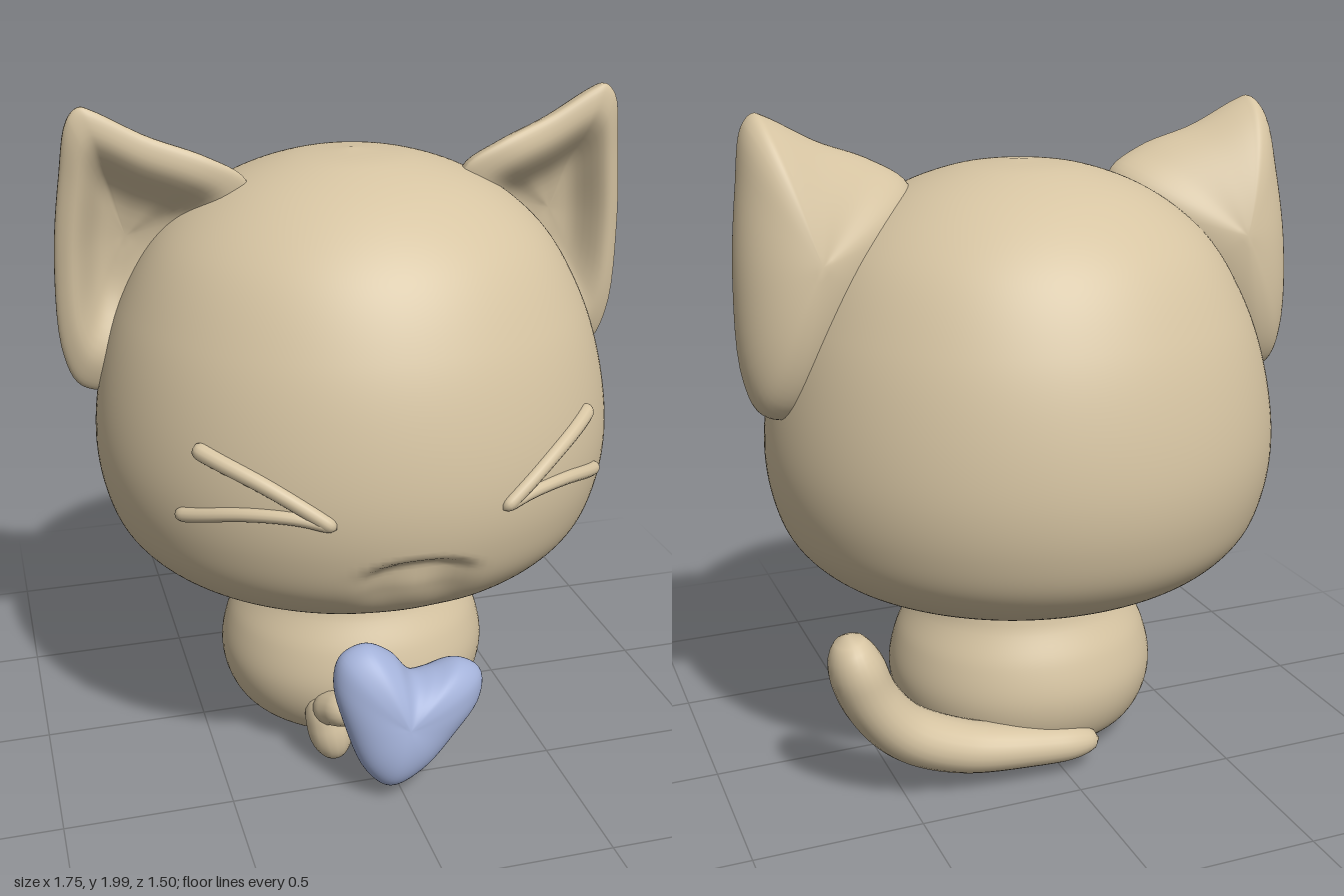
import * as THREE from 'three';
import { mergeVertices } from 'three/addons/utils/BufferGeometryUtils.js';

const fur = new THREE.MeshStandardMaterial({ name: 'tan fur', color: 0xd6c4a2 });
const blue = new THREE.MeshStandardMaterial({ name: 'heart blue', color: 0xa3b1d8 });

const vec = (p) => new THREE.Vector3(p[0], p[1], p[2] ?? 0);

// Weld seams and poles so the shading is smooth everywhere
function smooth(geometry) {
  geometry.deleteAttribute('uv');
  geometry.deleteAttribute('normal');
  const g = mergeVertices(geometry, 1e-5);
  g.computeVertexNormals();
  return g;
}

function add(group, name, geometry, material = fur) {
  const mesh = new THREE.Mesh(geometry, material);
  mesh.name = name;
  group.add(mesh);
  return mesh;
}

// Smooth profile (radius, y) from a few points
function profile(points, n) {
  return new THREE.CatmullRomCurve3(points.map(vec), false, 'centripetal')
    .getPoints(n).map((p) => new THREE.Vector2(Math.max(p.x, 0), p.y));
}

// Tube along a path, with a radius rule and round ends
function taperedTube(points, radius, { cap = 0.1, stretchZ = 1, rows = 48, sides = 16 } = {}) {
  const curve = new THREE.CatmullRomCurve3(points.map(vec), false, 'centripetal');
  const g = new THREE.TubeGeometry(curve, rows, 1, sides);
  const pos = g.attributes.position;
  const v = new THREE.Vector3();
  for (let i = 0; i < pos.count; i++) {
    const t = Math.floor(i / (sides + 1)) / rows;
    const end = Math.min(1, Math.min(t, 1 - t) / cap);
    const r = radius(t) * Math.sqrt(Math.max(0, 1 - (1 - end) ** 2));
    const c = curve.getPointAt(t);
    v.fromBufferAttribute(pos, i).sub(c).multiplyScalar(r);
    v.z *= stretchZ;
    v.add(c);
    pos.setXYZ(i, v.x, v.y, v.z);
  }
  return smooth(g);
}

// Cushion inside a closed outline (anticlockwise from the front);
// front(r) and back(r) give depth from the centre (r = 0) to the rim (r = 1)
function cushion(outline, centre, front, back, n = 72, rings = 36) {
  const rim = new THREE.CatmullRomCurve3(outline.map(vec), true, 'centripetal').getPoints(n).slice(0, n);
  const c = vec(centre);
  const pos = [], index = [];
  for (let j = 0; j <= rings; j++) {
    const s = (j / rings) * Math.PI;
    const r = j === rings ? 0 : Math.sin(s);
    const depth = j <= rings / 2 ? front(r) : back(r);
    for (let i = 0; i < n; i++) {
      const p = c.clone().lerp(rim[i], r);
      pos.push(p.x, p.y, p.z + depth);
      if (j === rings) continue;
      const a = j * n + i, b = j * n + ((i + 1) % n);
      index.push(a, a + n, b + n, a, b + n, b);
    }
  }
  const g = new THREE.BufferGeometry();
  g.setAttribute('position', new THREE.Float32BufferAttribute(pos, 3));
  g.setIndex(index);
  return smooth(g);
}

const dome = (r) => Math.sqrt(Math.max(0, 1 - r * r));
const step = THREE.MathUtils.smoothstep;

const headProfile = profile([
  [0, 0.52], [0.2, 0.52], [0.35, 0.532], [0.5, 0.572], [0.64, 0.64], [0.725, 0.73], [0.77, 0.85],
  [0.786, 1.0], [0.76, 1.2], [0.695, 1.4], [0.575, 1.6], [0.4, 1.74], [0.2, 1.817], [0, 1.84],
], 130);
const HEAD_DEPTH = 0.955;

// Front surface of the head at (x, y)
function headZ(x, y) {
  const i = headProfile.findIndex((p, k) => k > 0 && p.y >= y);
  const a = headProfile[i - 1], b = headProfile[i];
  const r = THREE.MathUtils.lerp(a.x, b.x, (y - a.y) / (b.y - a.y));
  return HEAD_DEPTH * Math.sqrt(Math.max(0, r * r - x * x));
}

// Head with a mouth hollow under a small curved lip
function headGeometry() {
  const g = new THREE.LatheGeometry(headProfile, 160);
  g.scale(1, 1, HEAD_DEPTH);
  const pos = g.attributes.position;
  for (let i = 0; i < pos.count; i++) {
    const x = pos.getX(i), y = pos.getY(i), z = pos.getZ(i);
    if (z < 0.3) continue;
    const lip = 0.865 - 1.2 * x * x;
    const side = Math.exp(-((x / 0.14) ** 4));
    const hollow = 0.05 * side * (1 - step(y, lip - 0.05, lip)) * step(y, 0.58, 0.74);
    const mound = 0.018 * Math.exp(-((x / 0.08) ** 2) - ((y - 0.72) / 0.07) ** 2);
    pos.setZ(i, z - hollow + mound);
  }
  return smooth(g);
}

export function createModel() {
  const model = new THREE.Group();
  model.name = 'kitten';

  add(model, 'head', headGeometry());

  // Body
  const body = new THREE.LatheGeometry(profile([
    [0, 0.03], [0.2, 0.03], [0.3, 0.04], [0.37, 0.085], [0.412, 0.16], [0.425, 0.25],
    [0.4, 0.36], [0.35, 0.46], [0.31, 0.56], [0, 0.6],
  ], 60), 72);
  body.scale(1, 1, 0.95);
  add(model, 'body', smooth(body));

  const earOutline = [
    [0.78, 1.995, 0.03], [0.745, 1.985, 0.035], [0.6, 1.91, 0.05], [0.44, 1.85, 0.08], [0.33, 1.78, 0.07],
    [0.32, 1.7, 0.05], [0.42, 1.48, 0], [0.6, 1.25, -0.04], [0.74, 1.14, -0.06], [0.82, 1.16, -0.06],
    [0.865, 1.27, -0.05], [0.872, 1.55, -0.03], [0.845, 1.8, 0], [0.815, 1.96, 0.025],
  ];
  const eyeStrokes = [
    [[0.235, 0.968], [0.31, 1.02], [0.42, 1.085], [0.575, 1.152]],
    [[0.235, 0.972], [0.34, 0.995], [0.47, 0.99], [0.625, 0.945]],
  ];

  for (const side of [1, -1]) {
    const label = side > 0 ? 'left' : 'right';
    const mirror = (pts) => pts.map(([x, y, z]) => [side * x, y, z]);

    // Ear: hollow front with a rolled rim, rounded back
    const outline = mirror(earOutline);
    if (side < 0) outline.reverse();
    add(model, `${label}Ear`, cushion(outline, [side * 0.66, 1.6, -0.03],
      (r) => -0.045 * (1 - step(r, 0.2, 0.8)) + 0.065 * dome(r) * step(r, 0.35, 0.85),
      (r) => -0.19 * dome(r)));

    // Closed eye: two strokes laid on the head
    const eye = new THREE.Group();
    eye.name = `${label}Eye`;
    model.add(eye);
    eyeStrokes.forEach((stroke, k) => {
      const flat = new THREE.CatmullRomCurve3(stroke.map(vec)).getPoints(12);
      const path = flat.map((p) => [side * p.x, p.y, headZ(p.x, p.y)]);
      const width = k ? 0.022 : 0.026;
      add(eye, k ? 'lowerStroke' : 'upperStroke',
        taperedTube(path, (t) => width * (0.8 + 0.2 * t), { cap: 0.07, sides: 12 }));
    });

    // Foot and the small paw behind the heart
    add(model, `${label}Foot`, taperedTube(
      mirror([[0.175, 0.25, 0.31], [0.165, 0.13, 0.335], [0.145, 0.005, 0.36]]),
      () => 0.07, { cap: 0.45, rows: 32 }));
    add(model, `${label}Paw`, taperedTube(
      mirror([[0.19, 0.16, 0.32], [0.16, 0.2, 0.38], [0.12, 0.23, 0.47]]),
      () => 0.055, { cap: 0.4, rows: 32 }));
  }

  // Tail sweeping from the middle of the back round to the left
  add(model, 'tail', taperedTube([
    [-0.12, 0.09, -0.37], [0.1, 0.11, -0.365], [0.33, 0.145, -0.345], [0.5, 0.225, -0.335],
    [0.595, 0.34, -0.33], [0.64, 0.46, -0.33], [0.66, 0.56, -0.33],
  ], (t) => 0.055 + 0.03 * step(t, 0, 0.6), { cap: 0.14, stretchZ: 1.15, sides: 24 }));

  // Tilted puffy heart
  add(model, 'heart', cushion([
    [0.05, 0.365, 0.5], [-0.01, 0.43, 0.49], [-0.09, 0.47, 0.49], [-0.165, 0.44, 0.49], [-0.19, 0.36, 0.5],
    [-0.165, 0.23, 0.535], [-0.115, 0.1, 0.57], [-0.05, 0.047, 0.585], [0.06, 0.08, 0.57],
    [0.18, 0.17, 0.53], [0.265, 0.26, 0.5], [0.27, 0.335, 0.49], [0.205, 0.378, 0.49], [0.12, 0.367, 0.5],
  ], [0.005, 0.25, 0.53], (r) => 0.115 * dome(r), (r) => -0.1 * dome(r)), blue);

  return model;
}
